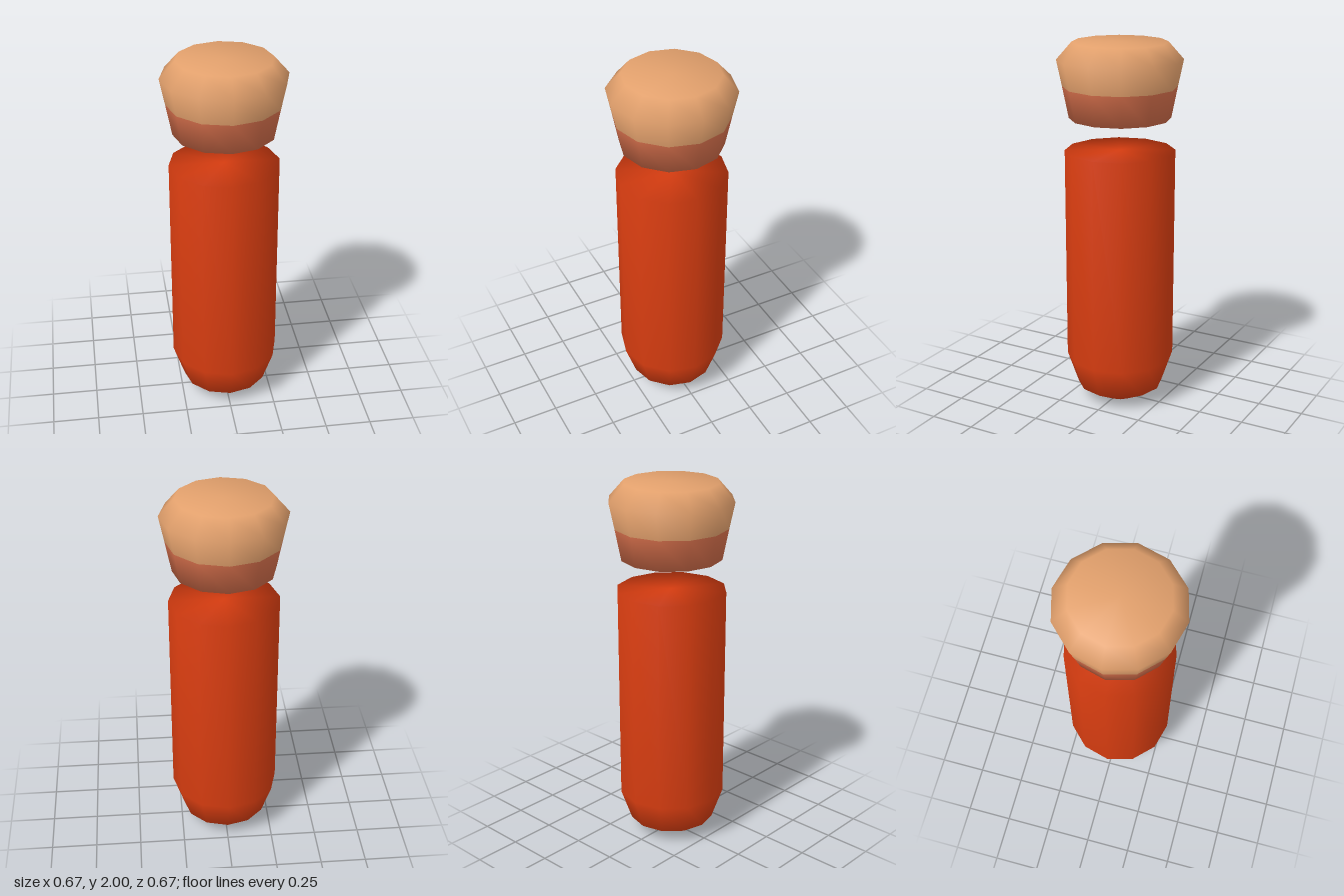
import * as THREE from 'three';
import { mergeVertices } from 'three/addons/utils/BufferGeometryUtils.js';

const SIDES = 12;

// Twelve-sided turned solid, smoothed across its rims; profile runs upwards as [radius, y]
function turned(name, profile, material) {
  const points = profile.map(([r, y]) => new THREE.Vector2(r, y));
  let geometry = new THREE.LatheGeometry(points, SIDES);
  geometry.deleteAttribute('normal');
  geometry.deleteAttribute('uv');
  geometry = mergeVertices(geometry, 1e-4);
  geometry.computeVertexNormals();
  const mesh = new THREE.Mesh(geometry, material);
  mesh.name = name;
  return mesh;
}

export function createModel() {
  const red = new THREE.MeshStandardMaterial({ name: 'liquidRed', color: 0xd63c10 });
  const tan = new THREE.MeshStandardMaterial({ name: 'corkTan', color: 0xe2a06c });
  const stain = new THREE.MeshStandardMaterial({ name: 'corkStain', color: 0xd8704c });

  const model = new THREE.Group();
  model.name = 'corkedLiquid';

  // Column of liquid with a rounded foot and a flat surface
  model.add(turned('liquid', [
    [0, 0], [0.09, 0], [0.235, 0.08], [0.295, 0.255], [0.295, 1.425], [0, 1.425],
  ], red));

  // Cork floating above: stained lower band and clean bevelled top
  const cork = new THREE.Group();
  cork.name = 'cork';
  cork.add(turned('corkLower', [[0, 1.6], [0.271, 1.6], [0.304, 1.768]], stain));
  cork.add(turned('corkUpper', [[0.304, 1.768], [0.333, 1.908], [0.252, 2], [0, 2]], tan));
  model.add(cork);

  return model;
}
